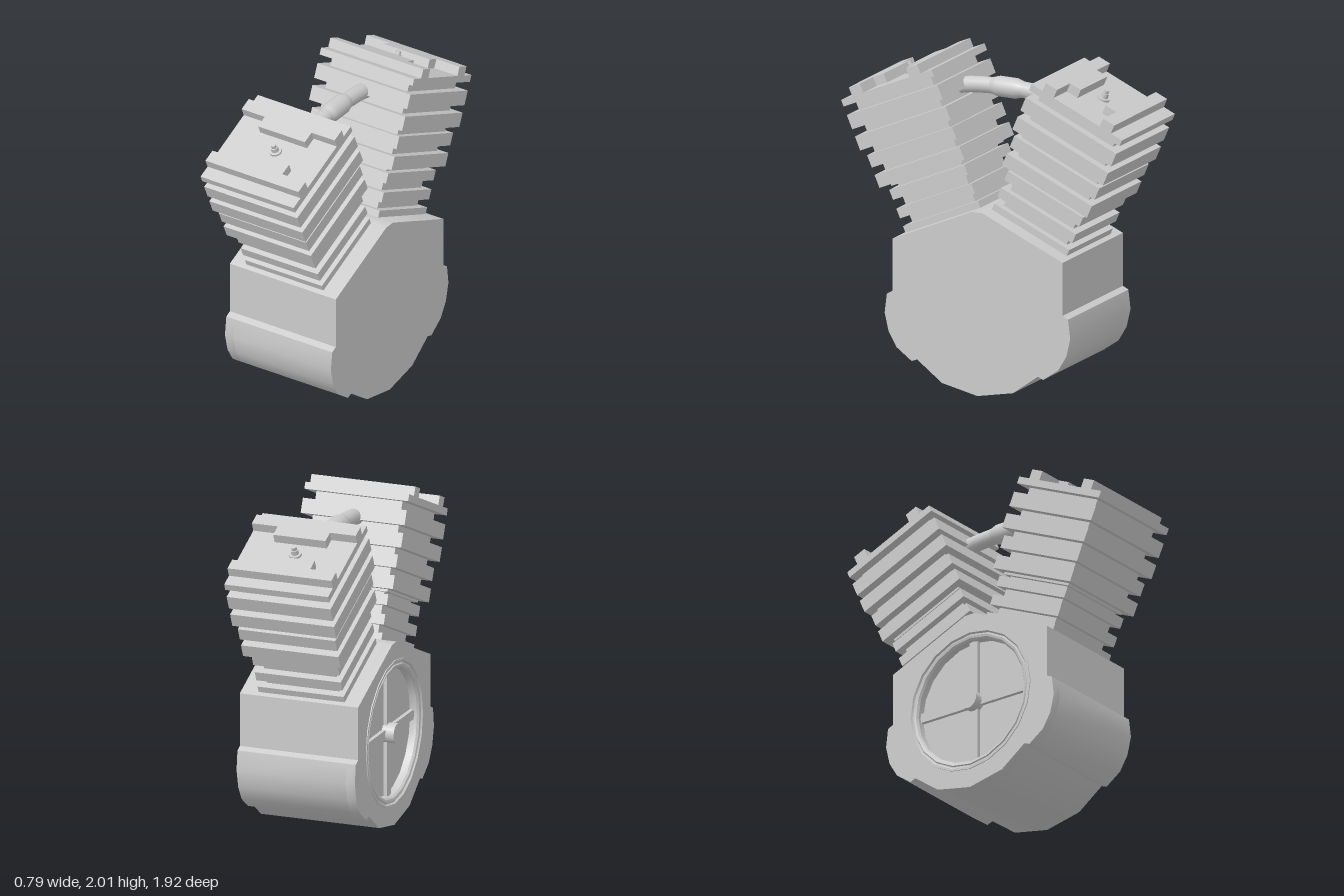
import * as THREE from 'three';
import { toCreasedNormals } from 'three/addons/utils/BufferGeometryUtils.js';

const material = new THREE.MeshStandardMaterial({ color: 0xcccccc });
const TILT = 0.412; // lean of each cylinder from vertical

function part(name, geometry, parent, x = 0, y = 0, z = 0) {
  const mesh = new THREE.Mesh(geometry, material);
  mesh.name = name;
  mesh.position.set(x, y, z);
  parent.add(mesh);
  return mesh;
}

// Square slab between two heights
function slab(name, half, y0, y1, parent) {
  return part(name, new THREE.BoxGeometry(half * 2, y1 - y0, half * 2), parent, 0, (y0 + y1) / 2, 0);
}

// Symmetric crankcase outline, from the roof down to the bottom point
function crankcaseShape() {
  const side = [[0.037, 1.148], [0.582, 0.91], [0.582, 0.578], [0.62, 0.56], [0.635, 0.44], [0.608, 0.325],
    [0.553, 0.233], [0.45, 0.16], [0.413, 0.175], [0.243, 0.05]];
  const points = [...side, [0, 0], ...side.map(([z, y]) => [-z, y]).reverse()];
  return new THREE.Shape(points.map(([z, y]) => new THREE.Vector2(z, y)));
}

function crankcaseLayer(name, shape, x0, x1, parent) {
  let geometry = new THREE.ExtrudeGeometry(shape, { depth: x1 - x0, bevelEnabled: false, curveSegments: 16 });
  geometry.rotateY(Math.PI / 2);
  geometry = toCreasedNormals(geometry, 0.56);
  part(name, geometry, parent, x0, 0, 0);
}

function buildCrankcase() {
  const group = new THREE.Group();
  group.name = 'crankcase';
  crankcaseLayer('crankcaseBody', crankcaseShape(), -0.32, 0.39, group);
  // Outer layer with the round flywheel recess
  const shape = crankcaseShape();
  shape.holes.push(new THREE.Path().absarc(0, 0.58, 0.45, 0, Math.PI * 2, true));
  crankcaseLayer('flywheelHousing', shape, -0.38, -0.32, group);
  return group;
}

// Flywheel is built facing +y, then turned to face -x
function buildFlywheel() {
  const wheel = new THREE.Group();
  wheel.name = 'flywheel';
  wheel.position.set(-0.32, 0.58, 0);
  wheel.rotation.z = Math.PI / 2;
  const rim = [[0.40, 0], [0.40, 0.045], [0.41, 0.058], [0.425, 0.062], [0.43, 0.055], [0.437, 0.055],
    [0.445, 0.066], [0.46, 0.066], [0.46, 0.05]].reverse();
  const rimGeometry = new THREE.LatheGeometry(rim.map(([r, y]) => new THREE.Vector2(r, y)), 20);
  const rimMesh = part('flywheelRim', toCreasedNormals(rimGeometry, 0.6), wheel);
  rimMesh.material = material.clone();
  rimMesh.material.side = THREE.DoubleSide;
  for (let i = 0; i < 4; i++) {
    const spoke = new THREE.Group();
    spoke.name = 'spoke';
    spoke.rotation.y = i * Math.PI / 2;
    part('spokeBar', new THREE.BoxGeometry(0.37, 0.025, 0.06), spoke, 0.22, 0.0125, 0);
    wheel.add(spoke);
  }
  part('hub', new THREE.CylinderGeometry(0.062, 0.062, 0.08, 20), wheel, 0, 0.04, 0);
  return wheel;
}

function buildCylinder(name) {
  const cylinder = new THREE.Group();
  cylinder.name = name;
  cylinder.position.set(0, 1.03, 0.293);
  cylinder.rotation.x = TILT;

  // Stepped core showing between the fins
  slab('lowerCore', 0.235, -0.02, 0.3, cylinder);
  slab('middleCore', 0.265, 0.3, 0.5, cylinder);
  slab('upperCore', 0.28, 0.5, 0.87, cylinder);

  // Cooling fins: half width, bottom, top
  const fins = [[0.28, 0, 0.048], [0.28, 0.098, 0.162], [0.28, 0.218, 0.283], [0.317, 0.315, 0.399],
    [0.317, 0.446, 0.526], [0.338, 0.568, 0.658], [0.338, 0.705, 0.797]];
  for (const [half, y0, y1] of fins) slab('coolingFin', half, y0, y1, cylinder);
  slab('headPlate', 0.338, 0.852, 0.895, cylinder);

  // Raised head bars, each with a tab reaching toward the plug
  for (const s of [-1, 1]) {
    const outline = [[-0.338, 0.255], [-0.338, 0.172], [-0.17, 0.172], [-0.17, 0.093],
      [0.17, 0.093], [0.17, 0.172], [0.338, 0.172], [0.338, 0.255]];
    const shape = new THREE.Shape(outline.map(([x, z]) => new THREE.Vector2(x, z * s)));
    const geometry = new THREE.ExtrudeGeometry(shape, { depth: 0.058, bevelEnabled: false });
    geometry.rotateX(-Math.PI / 2);
    part('headBar', geometry, cylinder, 0, 0.895, 0);
  }

  // Spark plug
  part('sparkPlugBase', new THREE.CylinderGeometry(0.04, 0.04, 0.014, 16), cylinder, 0, 0.902, 0);
  part('sparkPlugBody', new THREE.CylinderGeometry(0.022, 0.024, 0.03, 16), cylinder, 0, 0.922, 0);
  part('sparkPlugPin', new THREE.CylinderGeometry(0.016, 0.016, 0.025, 12), cylinder, 0, 0.948, 0);
  return cylinder;
}

function buildIntake() {
  const group = new THREE.Group();
  group.name = 'intake';
  const curve = new THREE.CatmullRomCurve3([[-0.36, 1.80], [-0.28, 1.821], [-0.12, 1.836], [0, 1.838],
    [0.12, 1.836], [0.28, 1.821], [0.36, 1.80]].map(([z, y]) => new THREE.Vector3(0, y, z)));
  part('intakePipe', new THREE.TubeGeometry(curve, 32, 0.05, 20), group);
  // Thicker sleeve with tapered ends
  const profile = [[0.048, -0.11], [0.056, -0.085], [0.063, -0.06], [0.063, 0.06], [0.056, 0.085], [0.048, 0.11]];
  const sleeve = new THREE.LatheGeometry(profile.map(([r, y]) => new THREE.Vector2(r, y)), 20);
  part('intakeSleeve', sleeve.rotateX(Math.PI / 2), group, 0, 1.838, 0);
  return group;
}

export function createModel() {
  const model = new THREE.Group();
  model.name = 'vTwinEngine';
  const rear = new THREE.Group();
  rear.name = 'rearSide';
  rear.rotation.y = Math.PI;
  rear.add(buildCylinder('rearCylinder'));
  model.add(buildCrankcase(), buildFlywheel(), buildCylinder('frontCylinder'), rear, buildIntake());
  return model;
}
